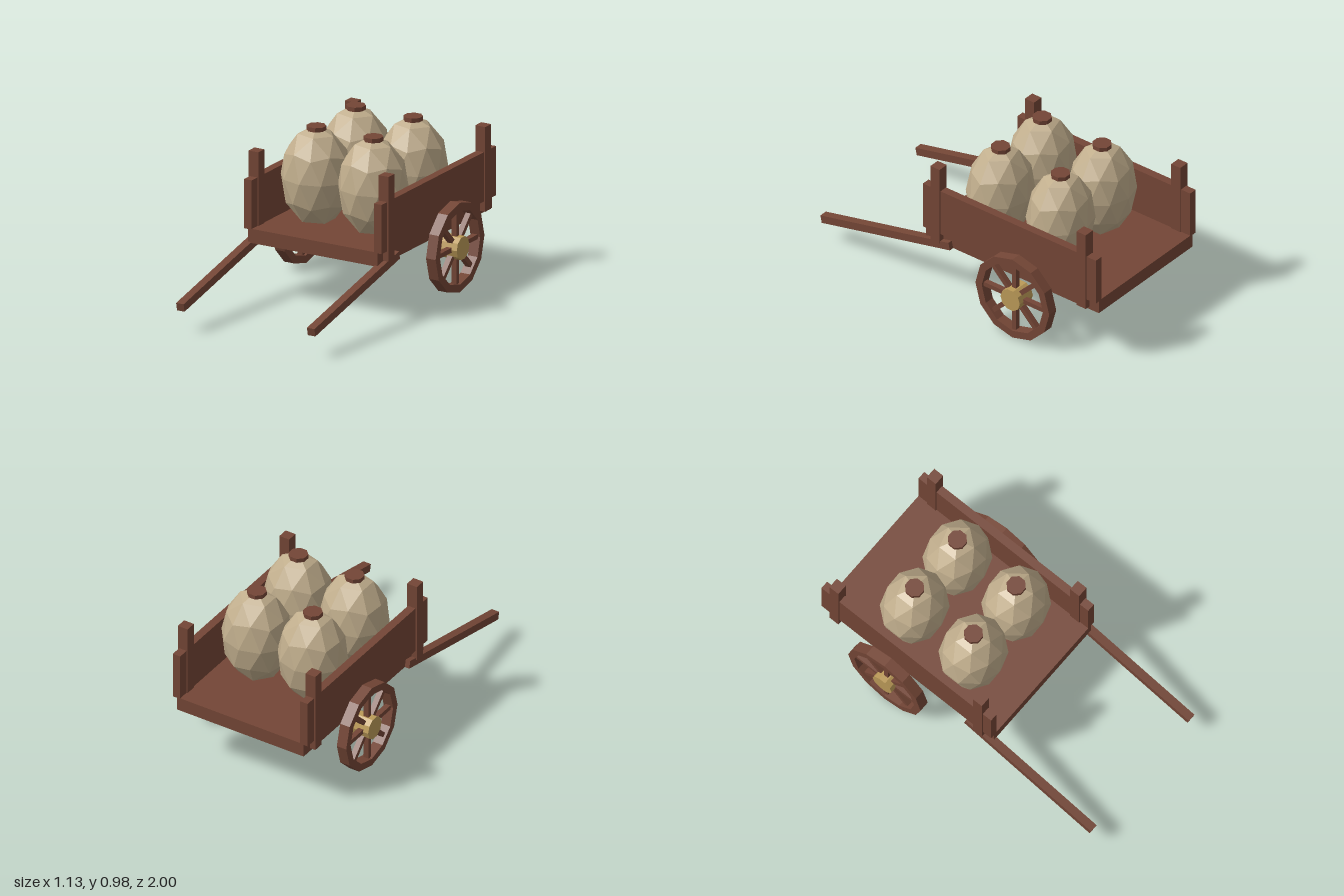
import * as THREE from 'three';

export function createModel() {
  const cart = new THREE.Group();
  cart.name = 'cart';
  const mat = (name, color) => {
    const m = new THREE.MeshStandardMaterial({ color, flatShading: true });
    m.name = name;
    return m;
  };
  const wood = mat('wood', 0x744636);
  const sackcloth = mat('sackcloth', 0xc0ad8c);
  const brass = mat('brass', 0xbb9a58);

  const add = (parent, name, geometry, material, x = 0, y = 0, z = 0) => {
    const mesh = new THREE.Mesh(geometry, material);
    mesh.name = name;
    mesh.position.set(x, y, z);
    parent.add(mesh);
    return mesh;
  };
  const box = (w, h, d) => new THREE.BoxGeometry(w, h, d);

  // Bed
  add(cart, 'bed', box(0.86, 0.085, 1.255), wood, 0, 0.379, -0.37);

  // Rim: a twelve-sided ring, extruded along z and turned to face sideways
  const polygon = (path, r) => {
    for (let i = 0; i < 12; i++) {
      const a = (i * Math.PI) / 6;
      path[i ? 'lineTo' : 'moveTo'](r * Math.cos(a), r * Math.sin(a));
    }
    path.closePath();
    return path;
  };
  const rimShape = polygon(new THREE.Shape(), 0.268);
  rimShape.holes.push(polygon(new THREE.Path(), 0.222));
  const rim = new THREE.ExtrudeGeometry(rimShape, { depth: 0.064, bevelEnabled: false });
  rim.translate(0, 0, -0.032).rotateY(Math.PI / 2);
  const hub = new THREE.CylinderGeometry(0.07, 0.07, 0.12, 10).rotateZ(Math.PI / 2);

  for (const [side, s] of [['left', 1], ['right', -1]]) {
    // Side board and its two posts
    add(cart, side + 'Board', box(0.05, 0.295, 1.255), wood, s * 0.432, 0.5645, -0.37);
    for (const [end, z] of [['Front', 0.163], ['Back', -0.898]]) {
      add(cart, side + end + 'Post', box(0.066, 0.507, 0.066), wood, s * 0.433, 0.61, z);
    }

    // Sloping shaft
    const shaft = add(cart, side + 'Shaft', box(0.05, 0.048, 0.952), wood, s * 0.435, 0.257, 0.53);
    shaft.rotation.x = Math.atan2(0.205, 0.93);

    // Wheel
    const wheel = new THREE.Group();
    wheel.name = side + 'Wheel';
    wheel.position.set(s * 0.512, 0.27, -0.46);
    cart.add(wheel);
    add(wheel, 'rim', rim, wood);
    add(wheel, 'hub', hub, brass, s * -0.008);
    for (let i = 0; i < 4; i++) {
      add(wheel, 'spokePair', box(0.034, 0.46, 0.028), wood).rotation.x = (i * Math.PI) / 4;
    }
  }

  // Four faceted sacks with tied tops
  const sackGeo = new THREE.IcosahedronGeometry(1, 1);
  sackGeo.rotateZ(-Math.atan(2 / (1 + Math.sqrt(5)))); // stand one corner straight up
  sackGeo.scale(0.212, 0.3, 0.192);
  const tieGeo = new THREE.CylinderGeometry(0.057, 0.057, 0.026, 8).rotateY(Math.PI / 8);
  for (const x of [-0.19, 0.19]) {
    for (const z of [-0.095, -0.53]) {
      add(cart, 'sack', sackGeo, sackcloth, x, 0.676, z);
      add(cart, 'sackTie', tieGeo, wood, x, 0.967, z);
    }
  }
  return cart;
}
